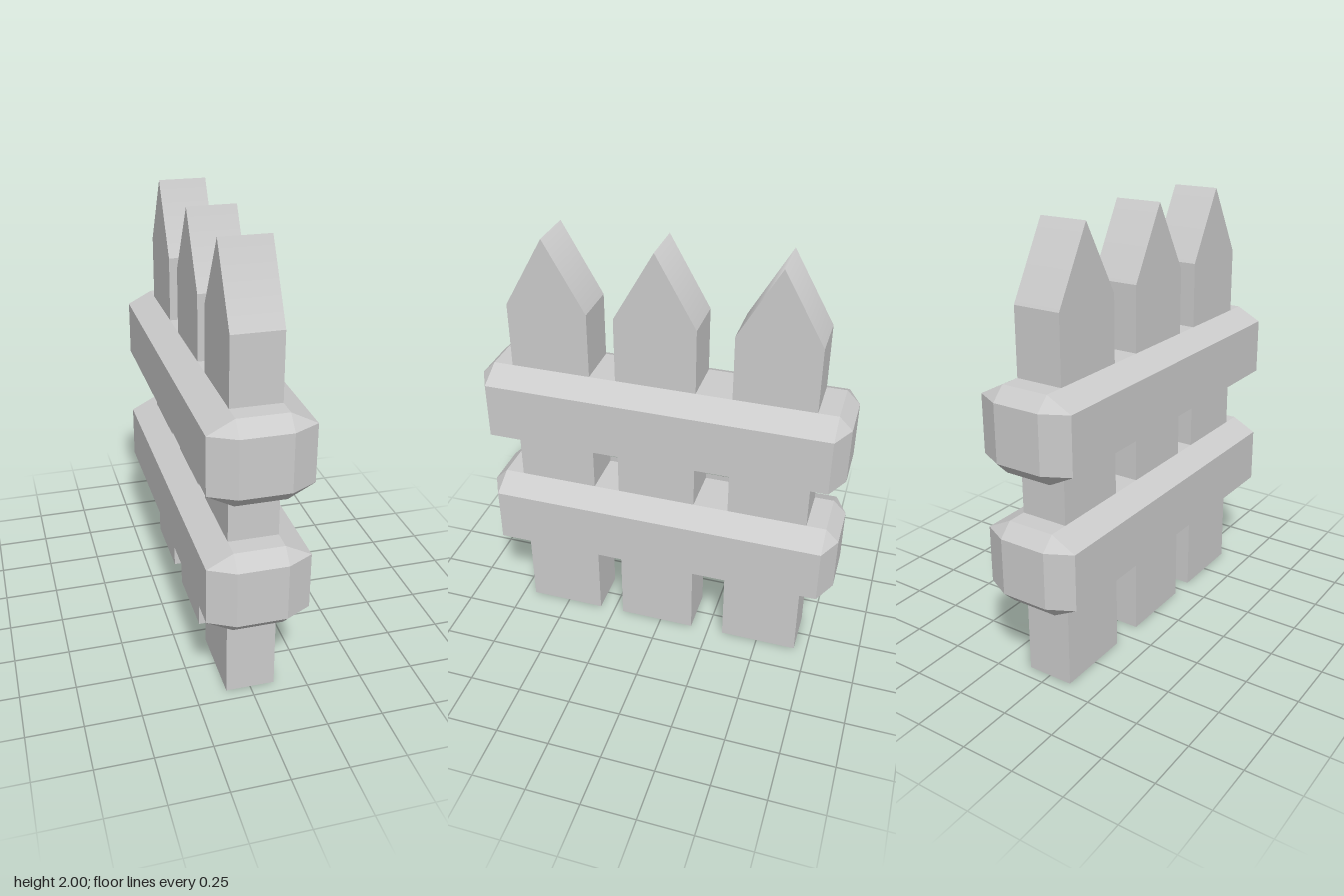
import * as THREE from 'three';
import { ConvexGeometry } from 'three/addons/geometries/ConvexGeometry.js';

const PICKET = { halfWidth: 0.183, thickness: 0.22, shoulder: 1.68, height: 2 };

// Pointed board: a five-sided outline extruded through its thickness along x
function picketGeometry() {
  const { halfWidth: w, thickness: t, shoulder, height } = PICKET;
  const outline = new THREE.Shape([
    [-w, 0], [w, 0], [w, shoulder], [0, height], [-w, shoulder],
  ].map(([a, b]) => new THREE.Vector2(a, b)));
  const geometry = new THREE.ExtrudeGeometry(outline, { depth: t, bevelEnabled: false });
  geometry.translate(0, 0, -t / 2).rotateY(-Math.PI / 2);

  // Soft shading over the ridge of the tip
  const { position, normal } = geometry.attributes;
  for (let i = 0; i < position.count; i++) {
    if (position.getY(i) > height - 0.001 && Math.abs(normal.getX(i)) < 0.5) normal.setXYZ(i, 0, 1, 0);
  }
  return geometry;
}

// Chamfered beam: each pair of opposite faces is pushed out past an inner box
function railGeometry() {
  const inner = [0.11, 0.13, 0.78];
  const outer = [0.225, 0.19, 0.84];
  const points = [];
  for (const sx of [-1, 1]) for (const sy of [-1, 1]) for (const sz of [-1, 1]) {
    for (let axis = 0; axis < 3; axis++) {
      const [x, y, z] = inner.map((v, i) => (i === axis ? outer[i] : v));
      points.push(new THREE.Vector3(sx * x, sy * y, sz * z));
    }
  }
  return new ConvexGeometry(points);
}

export function createModel() {
  const group = new THREE.Group();
  group.name = 'picketFence';
  const material = new THREE.MeshStandardMaterial({ color: 0xcccccc });
  const add = (name, geometry, y, z) => {
    const mesh = new THREE.Mesh(geometry, material);
    mesh.name = name;
    mesh.position.set(0, y, z);
    group.add(mesh);
  };

  // Three upright pickets
  const picket = picketGeometry();
  [['frontPicket', 0.508], ['middlePicket', 0.021], ['backPicket', -0.507]]
    .forEach(([name, z]) => add(name, picket, 0, z));

  // Two horizontal rails
  const rail = railGeometry();
  [['lowerRail', 0.59], ['upperRail', 1.19]].forEach(([name, y]) => add(name, rail, y, 0));

  return group;
}
